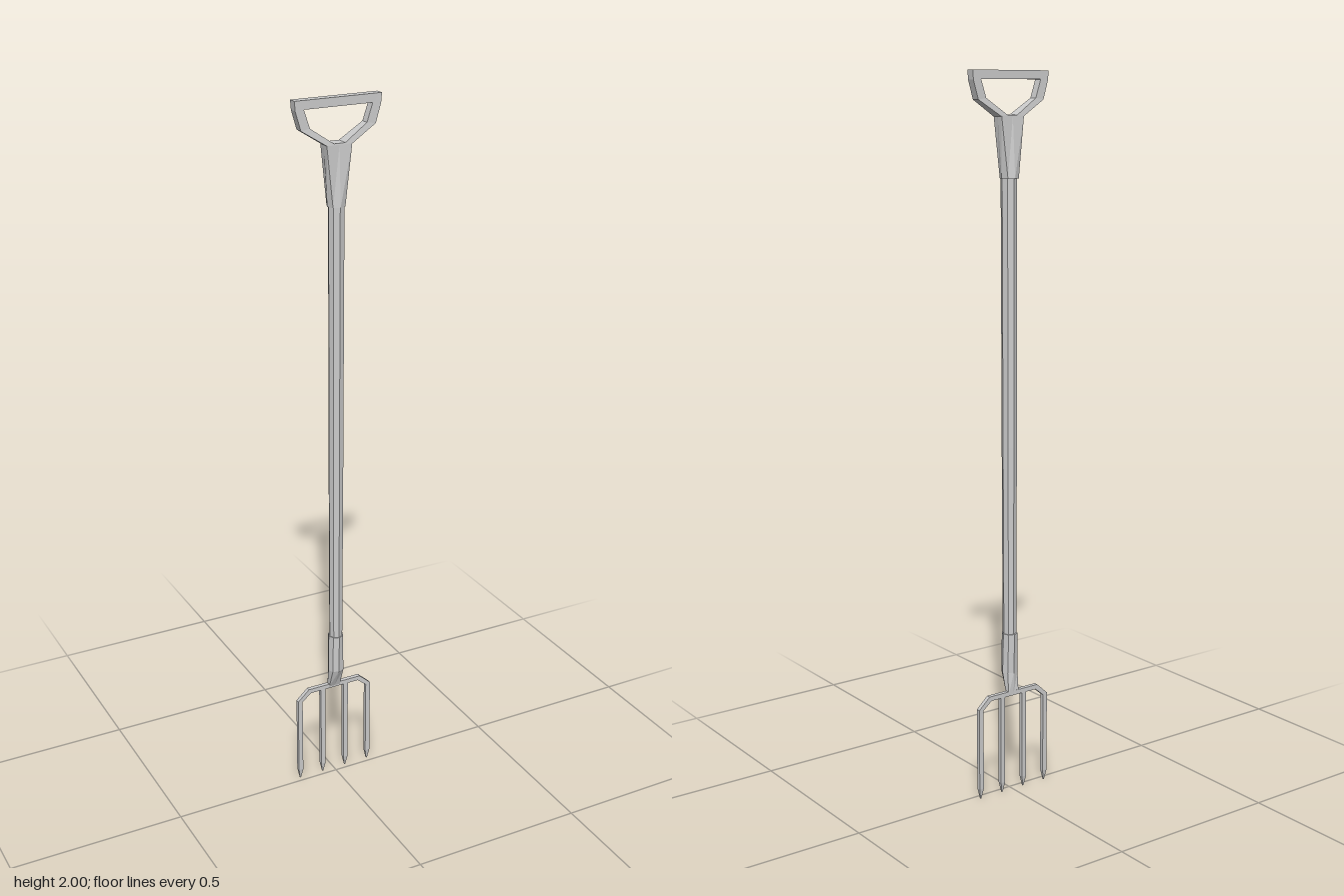
import * as THREE from 'three';

const material = new THREE.MeshStandardMaterial({ color: 0xcccccc, flatShading: true });

function addMesh(parent, name, geometry) {
  const mesh = new THREE.Mesh(geometry, material);
  mesh.name = name;
  parent.add(mesh);
  return mesh;
}

// Eight-sided section with corners on the axes
function octagon(y, rx, rz, cz = 0) {
  return Array.from({ length: 8 }, (_, i) => {
    const a = (i * Math.PI) / 4;
    return [Math.sin(a) * rx, y, cz + Math.cos(a) * rz];
  });
}

// Rectangular section whose corners and mid-sides line up with the octagon's
function rectangle(y, hx, hz, cz = 0) {
  return octagon(y, 1, 1).map(([x, , z]) => [
    Math.abs(x) > 0.1 ? Math.sign(x) * hx : 0, y,
    cz + (Math.abs(z) > 0.1 ? Math.sign(z) * hz : 0),
  ]);
}

// Joins sections listed from bottom to top and caps both ends
function loft(sections) {
  const n = sections[0].length;
  const points = sections.flat();
  const index = [];
  for (let s = 0; s < sections.length - 1; s++) {
    for (let i = 0; i < n; i++) {
      const a = s * n + i, b = s * n + ((i + 1) % n);
      index.push(a, b, b + n, a, b + n, a + n);
    }
  }
  const top = (sections.length - 1) * n;
  for (let i = 1; i < n - 1; i++) {
    index.push(0, i + 1, i, top, top + i, top + i + 1);
  }
  const g = new THREE.BufferGeometry();
  g.setAttribute('position', new THREE.Float32BufferAttribute(points.flat(), 3));
  g.setIndex(index);
  const flat = g.toNonIndexed();
  flat.computeVertexNormals();
  return flat;
}

// Closed outline mirrored across x = 0 from its right half
function mirrored(half) {
  const left = half.map(([x, y]) => [-x, y]).reverse();
  return [...half, ...left].map(([x, y]) => new THREE.Vector2(x, y));
}

function extrude(shape, depth, z) {
  const g = new THREE.ExtrudeGeometry(shape, { depth, bevelEnabled: false });
  g.translate(0, 0, z);
  return g;
}

export function createModel() {
  const fork = new THREE.Group();
  fork.name = 'gardenFork';

  // Long shaft, leaning very slightly backwards towards the tines
  addMesh(fork, 'shaft', loft([
    octagon(0.36, 0.019, 0.019, -0.002),
    octagon(1.0, 0.021, 0.021, -0.001),
    octagon(1.76, 0.022, 0.022, 0.001),
  ]));

  // Upper ferrule widens sideways into the handle
  addMesh(fork, 'upperFerrule', loft([
    octagon(1.722, 0.025, 0.026, -0.001),
    rectangle(1.884, 0.036, 0.018, 0.001),
  ]));

  // D-shaped handle, its arms thickening towards the ferrule
  const outline = new THREE.Shape(mirrored([
    [0.036, 1.882], [0.105, 1.925], [0.12, 1.975], [0.122, 2.0],
  ]));
  outline.holes.push(new THREE.Path(mirrored([
    [0.016, 1.886], [0.08, 1.929], [0.096, 1.977],
  ])));
  const handle = extrude(outline, 0.024, -0.012);
  const p = handle.attributes.position;
  for (let i = 0; i < p.count; i++) {
    const t = THREE.MathUtils.clamp((1.928 - p.getY(i)) / 0.045, 0, 1);
    p.setZ(i, p.getZ(i) * (1 + 0.5 * t) + 0.002);
  }
  handle.computeVertexNormals();
  addMesh(fork, 'handle', handle);

  // Lower socket, sloping back to meet the fork head
  addMesh(fork, 'lowerSocket', loft([
    rectangle(0.29, 0.017, 0.006, -0.016),
    octagon(0.352, 0.024, 0.021, -0.002),
    octagon(0.465, 0.022, 0.023, -0.003),
  ]));

  // Crossbar with bevelled shoulders
  const head = new THREE.Group();
  head.name = 'forkHead';
  fork.add(head);
  const bar = new THREE.Shape(mirrored([
    [0.104, 0.262], [0.118, 0.266], [0.083, 0.298],
  ].concat([]).reverse().concat([[0.077, 0.285]])));
  addMesh(head, 'crossbar', extrude(bar, 0.012, -0.022));

  // Four pointed tines
  for (const [x, top] of [[-0.111, 0.266], [-0.037, 0.29], [0.037, 0.29], [0.111, 0.266]]) {
    const tine = addMesh(head, 'tine', loft([
      rectangle(0, 0.0015, 0.0015, -0.016),
      rectangle(0.03, 0.007, 0.006, -0.016),
      rectangle(top, 0.007, 0.006, -0.016),
    ]));
    tine.position.x = x;
  }
  return fork;
}
